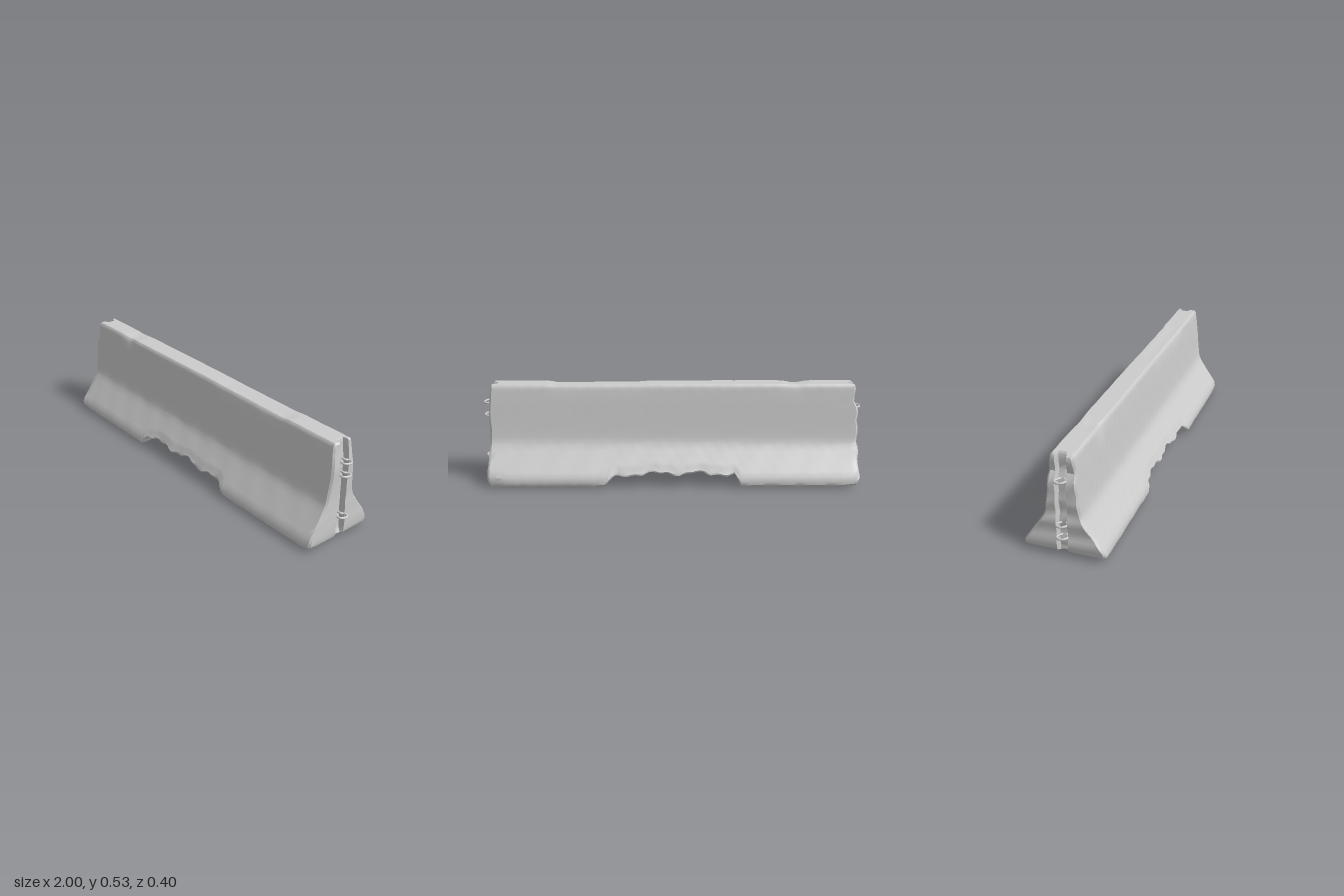
import * as THREE from 'three';
import { mergeVertices, toCreasedNormals } from 'three/addons/utils/BufferGeometryUtils.js';

// Piecewise linear lookup through [input, output] pairs
function lerpTable(table, v) {
  if (v <= table[0][0]) return table[0][1];
  for (let i = 1; i < table.length; i++) {
    const [a, fa] = table[i - 1], [b, fb] = table[i];
    if (v <= b) return fa + (fb - fa) * (v - a) / (b - a);
  }
  return table[table.length - 1][1];
}
const bump = (v, centre, width) => Math.exp(-(((v - centre) / width) ** 2));
const ramp = (v, a, b) => THREE.MathUtils.smoothstep(v, a, b);
const rough = (x, y, z) =>
  Math.sin(x * 37 + y * 23 + z * 11) * 0.5 + Math.sin(x * 83 - y * 61 + z * 40) * 0.3 + Math.sin(x * 17 + y * 90) * 0.2;

// Half width of the barrier by height
const PROFILE = [[0, 0.192], [0.03, 0.2], [0.055, 0.199], [0.1, 0.168], [0.16, 0.127], [0.2, 0.101],
  [0.225, 0.09], [0.25, 0.085], [0.3, 0.079], [0.44, 0.066], [0.51, 0.058], [0.523, 0.054], [0.53, 0.047]];
// Underside height along the length, with the raised drainage gap
const UNDERSIDE = [[-0.97, 0.022], [-0.9, 0.012], [-0.365, 0.01], [-0.335, 0.06], [-0.3, 0.064], [0, 0.068],
  [0.25, 0.06], [0.32, 0.048], [0.35, 0.012], [0.9, 0.01], [0.97, 0.014]];
const ROWS = [0, 0.012, 0.03, 0.055, 0.08, 0.1, 0.13, 0.16, 0.18, 0.2, 0.212, 0.225, 0.25, 0.275, 0.3,
  0.34, 0.38, 0.41, 0.44, 0.47, 0.495, 0.51, 0.523, 0.53];
const GROOVE = [-0.034, -0.026, 0, 0.014, 0.022];
const LEFT_END = 0.967, RIGHT_END = -0.978;

// Lengthwise stations, tight at the ends
const STATIONS = [0, 0.01, 0.04, 0.08].map((d) => RIGHT_END + d);
for (let i = 1; i < 100; i++) STATIONS.push(THREE.MathUtils.lerp(RIGHT_END + 0.08, LEFT_END - 0.08, i / 100));
STATIONS.push(...[0.08, 0.04, 0.01, 0].map((d) => LEFT_END - d));

// Moves one grid point of a box onto the barrier surface
function barrierPoint(i, j, k, nx, ny, nz, out) {
  let x = STATIONS[i];
  const h = ROWS[j], side = k < nz / 2 ? -1 : 1;
  const endDistance = Math.min(x - RIGHT_END, LEFT_END - x);
  const endSide = x > 0 ? 1 : -1;
  const atEnd = Math.max(0, 1 - endDistance / 0.08);
  const bevel = endDistance < 0.005 ? 0.009 : 0;
  const edge = Math.abs(k - nz / 2) / (nz / 2);
  const gap = ramp(x, -0.36, -0.33) * (1 - ramp(x, 0.29, 0.34));

  // Height: lower rows are squeezed above the underside
  let base = lerpTable(UNDERSIDE, x) + bevel + 0.002 * rough(x * 1.5, 0, side);
  base += gap * edge * edge * (0.009 + 0.008 * Math.sin(x * 27 + side) + 0.004 * Math.sin(x * 71));
  if (side < 0 && x > 0.4 && gap === 0) base -= 0.008 * edge;
  let y = h < 0.225 ? base + h * (0.225 - base) / 0.225 : h;

  // Half width at this height, with worn faces
  let w = lerpTable(PROFILE, y) - bevel + 0.0012 * rough(x, y, side);
  if (j === 0) w -= 0.007 + 0.002 * Math.sin(x * 40);
  w -= gap * (j < 3 ? 0.005 : 0);
  w -= 0.012 * bump(x, 0.95, 0.05) * bump(y, 0.03, 0.04) * (side < 0 ? 1 : 0.4);

  // Chipped and sagging top
  const topness = ramp(h, 0.46, 0.53);
  const frontness = side > 0 || edge < 0.1 ? 1 : 0.4;
  const longChip = ramp(x, 0.1, 0.2) * (1 - ramp(x, 0.6, 0.66));
  const smallChip = bump(x, -0.65, 0.05);
  y -= topness * (0.004 * ramp(x, -0.9, 0.9) + 0.008 * longChip * frontness * (0.6 + 0.4 * ramp(x, 0.3, 0.6)));
  y -= topness * (0.009 * smallChip * frontness + bevel * 0.8);
  w -= topness * frontness * (0.006 * smallChip + 0.003 * longChip);
  w -= side > 0 ? 0.005 * bump(x, -0.63, 0.018) * ramp(y, 0.44, 0.5) : 0;

  // Columns: outer faces follow the profile, inner ones frame the end groove
  const z = k === 0 ? -w : k === nz ? w
    : k === 1 ? -(w + 0.034) / 2 : k === nz - 1 ? (w + 0.022) / 2 : GROOVE[k - 2];

  // End faces: vertical groove, worn top and bottom corners
  const inGroove = k > 2 && k < nz - 2 ? 1 : 0;
  const wear = endSide > 0
    ? 0.014 * ramp(y, 0.38, 0.52) + 0.006 * bump(y, 0.25, 0.12)
    : 0.018 * ramp(y, 0.39, 0.44) + 0.004 * Math.sin(y * 60);
  const inset = 0.028 * inGroove * ramp(y, 0.0, 0.05) + wear + 0.012 * bump(y, 0, 0.025) + 0.002 * rough(y, z * 4, x);
  x -= endSide * atEnd * inset;
  out.set(x, y, z);
}

function barrierGeometry() {
  const nx = STATIONS.length - 1, ny = ROWS.length - 1, nz = GROOVE.length + 3;
  let geo = new THREE.BoxGeometry(nx, ny, nz, nx, ny, nz);
  const pos = geo.attributes.position, p = new THREE.Vector3();
  for (let n = 0; n < pos.count; n++) {
    barrierPoint(Math.round(pos.getX(n) + nx / 2), Math.round(pos.getY(n) + ny / 2),
      Math.round(pos.getZ(n) + nz / 2), nx, ny, nz, p);
    pos.setXYZ(n, p.x, p.y, p.z);
  }
  geo.deleteAttribute('normal');
  geo.deleteAttribute('uv');
  geo = mergeVertices(geo, 1e-5);
  return toCreasedNormals(geo, 0.6);
}

// Bent steel bar that curls out of the end groove
function loopGeometry(end) {
  const x = end * 0.973, r = 0.022, points = [];
  for (let a = -150; a <= 150; a += 30) {
    const t = THREE.MathUtils.degToRad(a);
    points.push(new THREE.Vector3(x + end * r * Math.cos(t), 0.003 * Math.sin(t), 1.2 * r * Math.sin(t)));
  }
  points.unshift(new THREE.Vector3(end * 0.93, 0, -0.012));
  points.push(new THREE.Vector3(end * 0.93, 0, 0.012));
  return new THREE.TubeGeometry(new THREE.CatmullRomCurve3(points), 36, 0.0055, 8);
}

export function createModel() {
  const group = new THREE.Group();
  group.name = 'concreteBarrier';
  const material = new THREE.MeshStandardMaterial({ color: 0xcccccc });

  const body = new THREE.Mesh(barrierGeometry(), material);
  body.name = 'barrierBody';
  group.add(body);

  // Connecting loops, at staggered heights on the two ends
  const loops = { left: [1, [0.425, 0.356, 0.133]], right: [-1, [0.403, 0.174, 0.108]] };
  for (const [name, [end, heights]] of Object.entries(loops)) {
    const geo = loopGeometry(end);
    heights.forEach((y, i) => {
      const loop = new THREE.Mesh(geo, material);
      loop.name = `${name}ConnectingLoop${i + 1}`;
      loop.position.set(0, y, -0.006);
      group.add(loop);
    });
  }
  return group;
}
